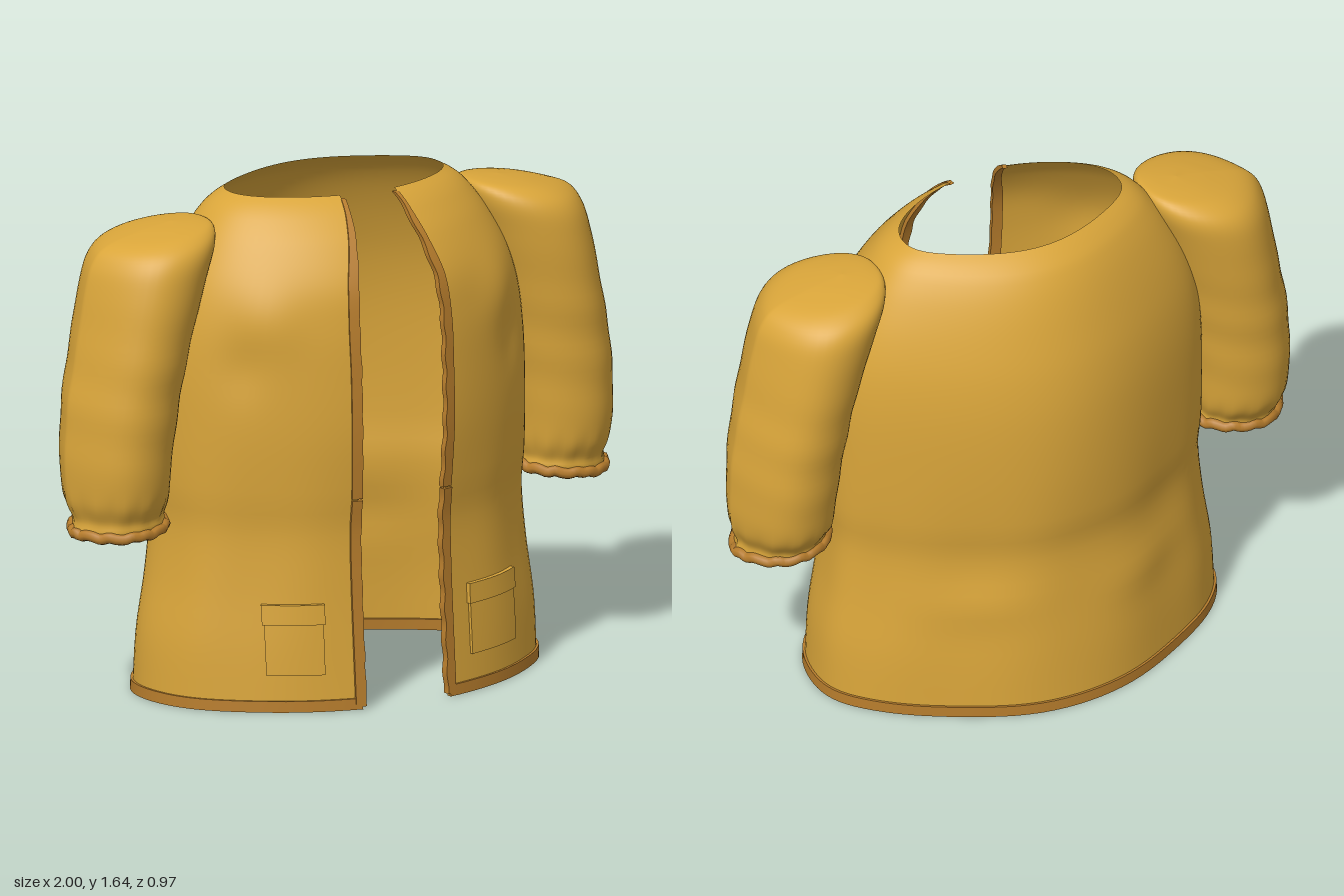
import * as THREE from 'three';

const cloth = new THREE.MeshStandardMaterial({ color: 0xd9a53a, side: THREE.DoubleSide });
cloth.name = 'golden cloth';
const trim = new THREE.MeshStandardMaterial({ color: 0xb67c2c, side: THREE.DoubleSide });
trim.name = 'brown trim';

// Body profile: y, half width, front depth, back depth, half opening
const BODY = [
  [0, 0.7, 0.49, 0.478, 0.16],
  [0.2, 0.69, 0.475, 0.465, 0.16],
  [0.4, 0.66, 0.462, 0.445, 0.16],
  [0.58, 0.645, 0.455, 0.43, 0.16],
  [0.7, 0.655, 0.466, 0.445, 0.16],
  [0.9, 0.657, 0.478, 0.453, 0.165],
  [1.1, 0.652, 0.472, 0.446, 0.165],
  [1.25, 0.632, 0.46, 0.424, 0.165],
  [1.38, 0.59, 0.435, 0.388, 0.155],
  [1.5, 0.525, 0.372, 0.343, 0.13],
  [1.58, 0.465, 0.305, 0.297, 0.112],
  [1.615, 0.425, 0.265, 0.258, 0.105],
  [1.637, 0.385, 0.23, 0.225, 0.1],
];

// Sleeve rings: key, inner y, outer y, inner x, outer x, front z, back z
const SLEEVE = [
  [0, 0.575, 0.575, 0.81, 0.83, 0.035, 0.03],
  [1, 0.6, 0.58, 0.675, 0.96, 0.17, -0.105],
  [2, 0.64, 0.63, 0.67, 0.965, 0.185, -0.125],
  [3, 0.7, 0.7, 0.655, 0.99, 0.213, -0.168],
  [4, 0.82, 0.82, 0.645, 0.998, 0.228, -0.19],
  [5, 1.0, 1.0, 0.62, 0.987, 0.238, -0.205],
  [6, 1.2, 1.18, 0.58, 0.955, 0.246, -0.217],
  [7, 1.4, 1.36, 0.52, 0.922, 0.243, -0.222],
  [8, 1.51, 1.46, 0.48, 0.893, 0.225, -0.208],
  [9, 1.56, 1.515, 0.475, 0.84, 0.175, -0.155],
  [10, 1.572, 1.55, 0.51, 0.72, 0.1, -0.08],
  [11, 1.57, 1.57, 0.6, 0.6, 0.01, 0.01],
];

// Smooth interpolation of table rows by their first column
function sample(table, k) {
  let i = 0;
  while (i < table.length - 2 && k > table[i + 1][0]) i++;
  const a = table[i], b = table[i + 1];
  const p = table[Math.max(i - 1, 0)], q = table[Math.min(i + 2, table.length - 1)];
  const h = b[0] - a[0], t = THREE.MathUtils.clamp((k - a[0]) / h, 0, 1);
  const t2 = t * t, t3 = t2 * t;
  return a.map((v, c) => {
    const m0 = (b[c] - p[c]) / (b[0] - p[0]) * h, m1 = (q[c] - v) / (q[0] - a[0]) * h;
    return (2 * t3 - 3 * t2 + 1) * v + (t3 - 2 * t2 + t) * m0 + (3 * t2 - 2 * t3) * b[c] + (t3 - t2) * m1;
  });
}

// Surface from f(u, v) -> [x, y, z], optionally closed around u
function grid(f, nu, nv, wrap) {
  const pos = [], idx = [], cols = wrap ? nu : nu + 1;
  for (let j = 0; j <= nv; j++) for (let i = 0; i < cols; i++) pos.push(...f(i / nu, j / nv));
  for (let j = 0; j < nv; j++) for (let i = 0; i < nu; i++) {
    const a = j * cols + i, b = j * cols + (i + 1) % cols;
    idx.push(a, b, b + cols, a, b + cols, a + cols);
  }
  const g = new THREE.BufferGeometry();
  g.setAttribute('position', new THREE.Float32BufferAttribute(pos, 3));
  g.setIndex(idx);
  g.computeVertexNormals();
  return g;
}

// Thin curved block: a box bent by f(u, v, w), all from 0 to 1
function slab(f, nu, nv) {
  const g = new THREE.BoxGeometry(1, 1, 1, nu, nv, 1), p = g.attributes.position;
  for (let i = 0; i < p.count; i++) p.setXYZ(i, ...f(p.getX(i) + 0.5, p.getY(i) + 0.5, p.getZ(i) + 0.5));
  g.computeVertexNormals();
  return g;
}

const bump = (d, r) => Math.exp(-(d * d) / (r * r));

// Point on the garment body at an angle from the front, pushed out by off
function bodyPoint(phi, y, off = 0) {
  const [, rx, zf, zb] = sample(BODY, y);
  const s = Math.sin(phi), c = Math.cos(phi), rz = c > 0 ? zf : zb;
  const ax = Math.abs(rx * s);
  // soft drape: chest folds, pocket fullness and vertical ripples
  let d = off + 0.004 * Math.sin(phi * 11 + 1) * bump(y - 0.4, 0.35);
  if (c > 0) d += 0.015 * bump(ax - 0.42, 0.09) * bump(y - 1.28, 0.11) - 0.012 * bump(ax - 0.5, 0.06) * bump(y - 1.12, 0.1);
  else d += 0.012 * bump(ax - 0.3, 0.15) * bump(y - 0.4, 0.08);
  const n = Math.hypot(s / rx, c / rz);
  // flattened diagonals between the front, the sides and the back
  const flat = 1 - (c > 0 ? 0.16 : 0.38) * s * s * Math.abs(c);
  return [rx * s + d * s / rx / n, y, rz * c * flat + d * c / rz / n];
}

const angleAt = (x, y) => Math.asin(x / sample(BODY, y)[1]);
const opening = (y) => angleAt(sample(BODY, y)[4], y);

function sleevePoint(side, phi, k) {
  const [, yi, yo, xi, xo, zf, zb] = sample(SLEEVE, k);
  const s = Math.sin(phi), c = Math.cos(phi), out = (side * s + 1) / 2;
  const y = yi + (yo - yi) * out;
  // narrower towards the outside, blunter against the body
  const cz = Math.sign(c) * Math.pow(Math.abs(c), 1 + (side * s > 0 ? 0.55 : 0.15) * side * s);
  // crosswise wrinkles on the arm, gathers by the cuff
  const r = 1 + 0.01 * Math.sin(y * 34 + phi) * bump(y - 1.02, 0.25) + 0.02 * Math.sin(phi * 13) * bump(y - 0.66, 0.05);
  return [side * (xi + xo) / 2 + (xo - xi) / 2 * s * r, y, (zf + zb) / 2 + (zf - zb) / 2 * cz * r];
}

export function createModel() {
  const model = new THREE.Group();
  const add = (name, geometry, material, parent = model) => {
    const mesh = new THREE.Mesh(geometry, material);
    mesh.name = name;
    parent.add(mesh);
  };

  // Open-fronted body, rows packed towards the neck
  add('body', grid((u, v) => {
    const y = 1.637 * (1 - Math.pow(1 - v, 1.6)), a = opening(y);
    return bodyPoint(a + u * (2 * Math.PI - 2 * a), y);
  }, 96, 56, false), cloth);

  // Hem band
  add('hem', slab((u, v, w) => {
    const y = v * 0.036, a = opening(y);
    return bodyPoint(a + u * (2 * Math.PI - 2 * a), y, -0.01 + w * 0.018);
  }, 96, 1), trim);

  for (const side of [1, -1]) {
    const label = side > 0 ? 'left' : 'right';

    // Front edge bands, the lower one a little thicker
    for (const [part, y0, y1, thick] of [['Lower', 0.01, 0.685, 0.011], ['Upper', 0.69, 1.627, 0.007]]) {
      add(label + part + 'FrontBand', slab((u, v, w) => {
        const y = y0 + v * (y1 - y0), g = sample(BODY, y)[4];
        const wave = 0.003 * Math.sin(y * 60) * (side > 0 ? 1 : 0.4);
        const t = side > 0 ? u : 1 - u;
        const x = g - 0.012 + wave * (1 - t) + 0.034 * t * (y > 1.4 ? 1 - (y - 1.4) * 2.5 : 1);
        return bodyPoint(side * angleAt(x, y), y, -0.014 + w * (0.014 + thick));
      }, 2, 60), trim);
    }

    // Puffed sleeve with closed ends
    const sleeve = new THREE.Group();
    sleeve.name = label + 'Sleeve';
    model.add(sleeve);
    add(label + 'SleeveCloth', grid((u, v) => sleevePoint(side, u * 2 * Math.PI, v * 11), 52, 66, true), cloth, sleeve);

    // Ruffled cuff
    const ring = [];
    for (let i = 0; i < 40; i++) {
      const p = sleevePoint(side, i / 40 * 2 * Math.PI, 1.25);
      ring.push(new THREE.Vector3(p[0], p[1] - p[2] * 0.06 + 0.004 * Math.sin(i * 2.3), p[2]));
    }
    add(label + 'Cuff', new THREE.TubeGeometry(new THREE.CatmullRomCurve3(ring, true), 100, 0.018, 8, true), trim, sleeve);

    // Patch pocket with flap, following the body curve
    const [x0, x1] = side > 0 ? [0.26, 0.475] : [-0.445, -0.275];
    const patch = (ya, yb, grow, lift) => slab((u, v, w) => {
      const y = ya + v * (yb - ya);
      return bodyPoint(angleAt(x0 - grow + u * (x1 - x0 + 2 * grow), y), y, -0.005 + w * lift);
    }, 10, 4);
    add(label + 'Pocket', patch(0.12, 0.3, 0, 0.015), cloth);
    add(label + 'PocketFlap', patch(0.285, 0.35, 0.005, 0.02), cloth);
  }
  return model;
}
